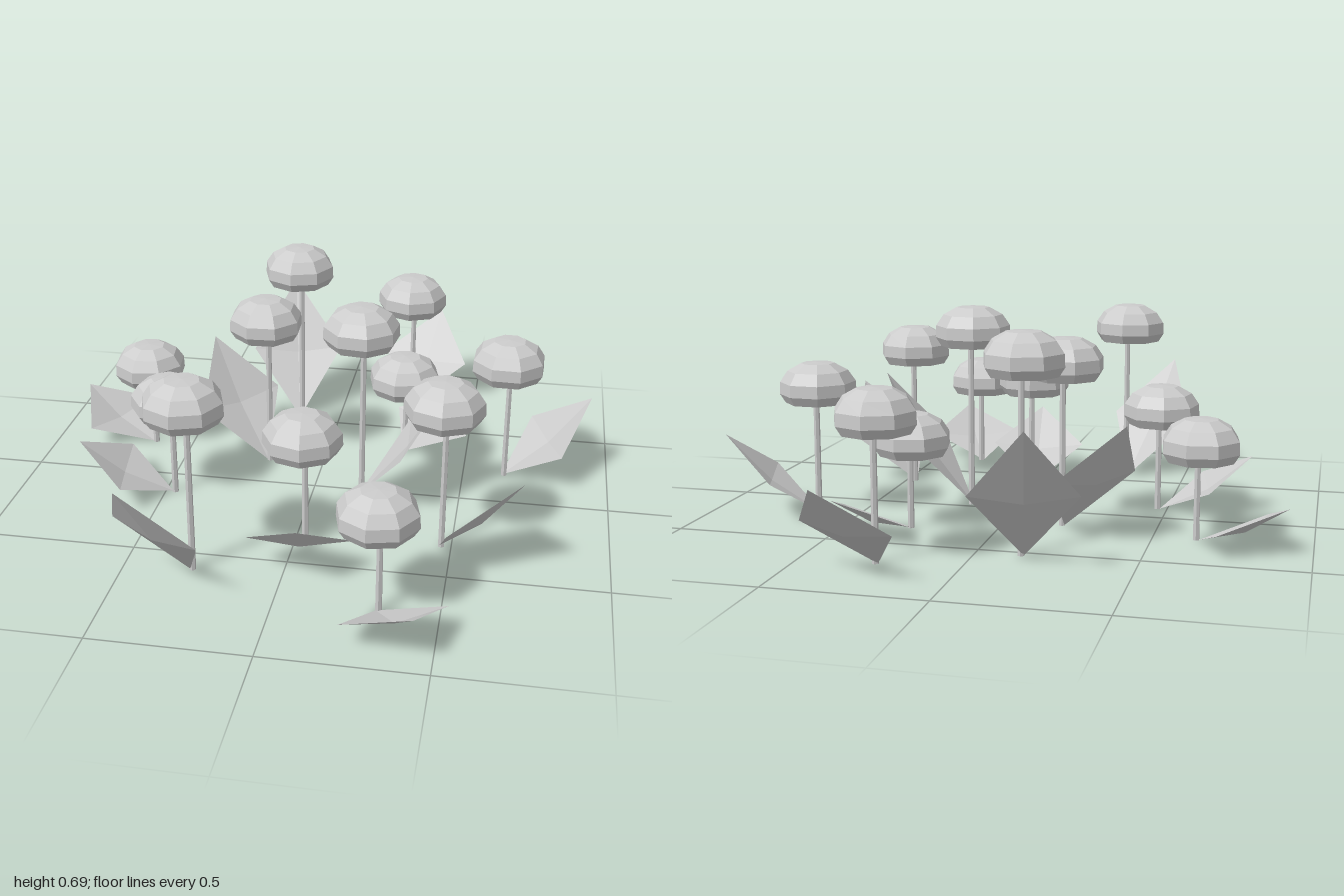
import * as THREE from 'three';

// One row per flower: x, z, height, leaf tip offset in x and z
const FLOWERS = [
  [0.25, -0.71, 0.53, 0.09, -0.29],
  [-0.15, -0.53, 0.685, -0.07, -0.3],
  [0.27, -0.31, 0.38, 0.18, -0.24],
  [-0.645, -0.235, 0.39, -0.285, -0.13],
  [-0.2, -0.165, 0.62, -0.23, -0.2],
  [0.635, -0.195, 0.515, 0.29, -0.1],
  [0.16, 0.03, 0.69, 0.31, 0],
  [-0.475, 0.12, 0.43, -0.3, 0.05],
  [0.03, 0.39, 0.47, 0.035, 0.31],
  [0.46, 0.32, 0.58, 0.26, 0.17],
  [-0.29, 0.59, 0.65, -0.135, 0.275],
  [0.31, 0.715, 0.41, 0.135, 0.275],
];

const HEAD_HEIGHT = 0.135;

const material = new THREE.MeshStandardMaterial({ color: 0xcccccc, flatShading: true });
const leafMaterial = new THREE.MeshStandardMaterial({
  color: 0xcccccc, flatShading: true, side: THREE.DoubleSide,
});

// Faceted dome with a flat underside
function headGeometry() {
  const profile = [[0, 0.008], [0.075, 0.005], [0.108, 0], [0.127, 0.03], [0.125, 0.07], [0.1, 0.107], [0.055, 0.132], [0, HEAD_HEIGHT]];
  return new THREE.LatheGeometry(profile.map(([r, y]) => new THREE.Vector2(r, y)), 8);
}

// Diamond leaf pointing along +z, rising to its tip, with a sunken centre
function leafGeometry(rise) {
  const length = 0.31, half = 0.167;
  const corners = [
    0, 0, 0,
    half, rise / 2, length / 2,
    0, rise, length,
    -half, rise / 2, length / 2,
    0, rise / 2 - 0.022, length / 2 + 0.008,
  ];
  const geometry = new THREE.BufferGeometry();
  geometry.setAttribute('position', new THREE.Float32BufferAttribute(corners, 3));
  geometry.setIndex([0, 4, 1, 1, 4, 2, 2, 4, 3, 3, 4, 0]);
  geometry.computeVertexNormals();
  return geometry;
}

function add(parent, name, geometry, mat) {
  const mesh = new THREE.Mesh(geometry, mat);
  mesh.name = name;
  parent.add(mesh);
  return mesh;
}

export function createModel() {
  const model = new THREE.Group();
  model.name = 'flowerPatch';
  const headShape = headGeometry();

  FLOWERS.forEach(([x, z, height, tipX, tipZ], i) => {
    const flower = new THREE.Group();
    flower.name = 'flower';
    flower.position.set(x, 0, z);
    model.add(flower);

    // Stem reaches into the head
    const stemHeight = height - HEAD_HEIGHT + 0.03;
    const stem = add(flower, 'stem', new THREE.CylinderGeometry(0.01, 0.011, stemHeight, 6), material);
    stem.position.set(0.008, stemHeight / 2, 0);

    const head = add(flower, 'flowerHead', headShape, material);
    head.position.y = height - HEAD_HEIGHT;
    head.rotation.y = i * 0.7;

    // Taller flowers carry steeper leaves
    const leaf = add(flower, 'leaf', leafGeometry(height - 0.24), leafMaterial);
    leaf.rotation.y = Math.atan2(tipX, tipZ);
  });

  return model;
}
